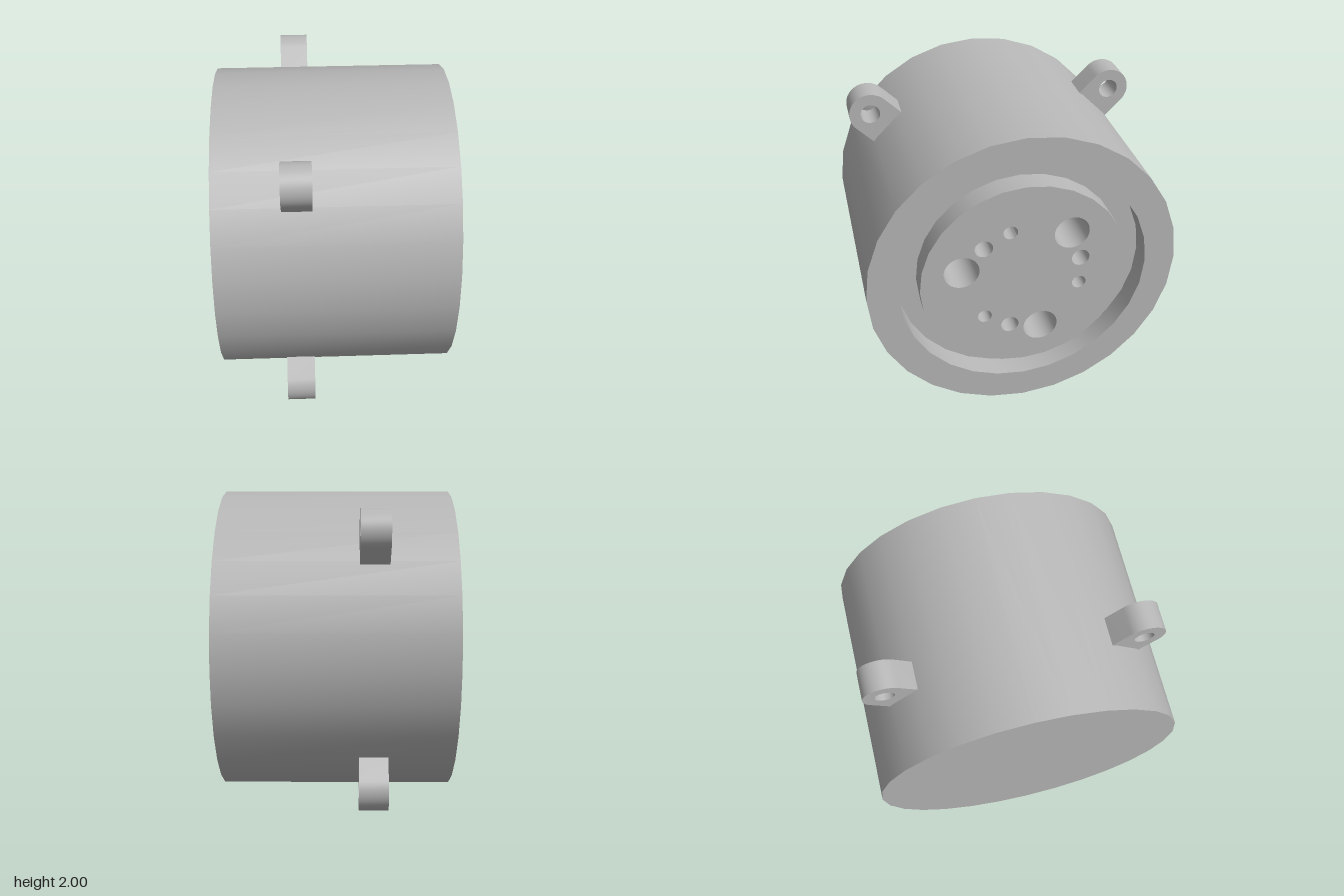
import * as THREE from 'three';
import { toCreasedNormals } from 'three/addons/utils/BufferGeometryUtils.js';

const HALF = 0.745; // half the body length along x
const CREASE = 0.6;

// Extrudes a shape drawn in (-z, y) along +x, from x0 to x1.
function extrudeAlongX(shape, x0, x1, curveSegments) {
  const geo = new THREE.ExtrudeGeometry(shape, { depth: x1 - x0, bevelEnabled: false, curveSegments });
  geo.rotateY(Math.PI / 2).translate(x0, 0, 0);
  return toCreasedNormals(geo, CREASE);
}

function circlePath(x, y, r) {
  return new THREE.Path().absarc(x, y, r, 0, Math.PI * 2, true);
}

export function createModel() {
  const model = new THREE.Group();
  model.name = 'connectorHousing';
  const grey = new THREE.MeshStandardMaterial({ color: 0xb8b8b8 });
  grey.name = 'light grey';

  const add = (name, geometry) => {
    const mesh = new THREE.Mesh(geometry, grey);
    mesh.name = name;
    mesh.position.y = 1;
    model.add(mesh);
    return mesh;
  };

  // Body: closed back, outer wall, front rim, ring groove and a seat behind the socket holes
  const profile = [
    [0, -HALF], [1, -HALF], [1, HALF], [0.8, HALF],
    [0.8, HALF - 0.15], [0.67, HALF - 0.15], [0.6, HALF - 0.3], [0, HALF - 0.3],
  ].map(([r, h]) => new THREE.Vector2(r, h));
  const body = new THREE.LatheGeometry(profile, 28).rotateZ(-Math.PI / 2);
  add('body', toCreasedNormals(body, CREASE));

  // Socket insert: three repeated sets of a large, a medium and a small hole
  const insert = new THREE.Shape().absarc(0, 0, 0.67, 0, Math.PI * 2, false);
  const holes = [[15, 0.42, 0.113], [45, 0.374, 0.058], [75, 0.371, 0.046]];
  for (let set = 0; set < 3; set++) {
    for (const [degrees, distance, radius] of holes) {
      const a = THREE.MathUtils.degToRad(degrees + set * 120);
      insert.holes.push(circlePath(-distance * Math.cos(a), distance * Math.sin(a), radius));
    }
  }
  add('socketInsert', extrudeAlongX(insert, HALF - 0.3, HALF, 14));

  // Mounting lugs: four rounded ears with a through hole, on the diagonals
  const reach = 1.138, half = 0.135;
  const lug = new THREE.Shape();
  lug.moveTo(0.92, -half);
  lug.lineTo(reach, -half);
  lug.absarc(reach, 0, half, -Math.PI / 2, Math.PI / 2, false);
  lug.lineTo(0.92, half);
  lug.closePath();
  lug.holes.push(circlePath(reach, 0, 0.063));
  const lugGeometry = extrudeAlongX(lug, -0.325, -0.142, 14);
  for (let i = 0; i < 4; i++) {
    add('mountingLug' + (i + 1), lugGeometry).rotation.x = Math.PI / 4 + i * Math.PI / 2;
  }

  return model;
}
